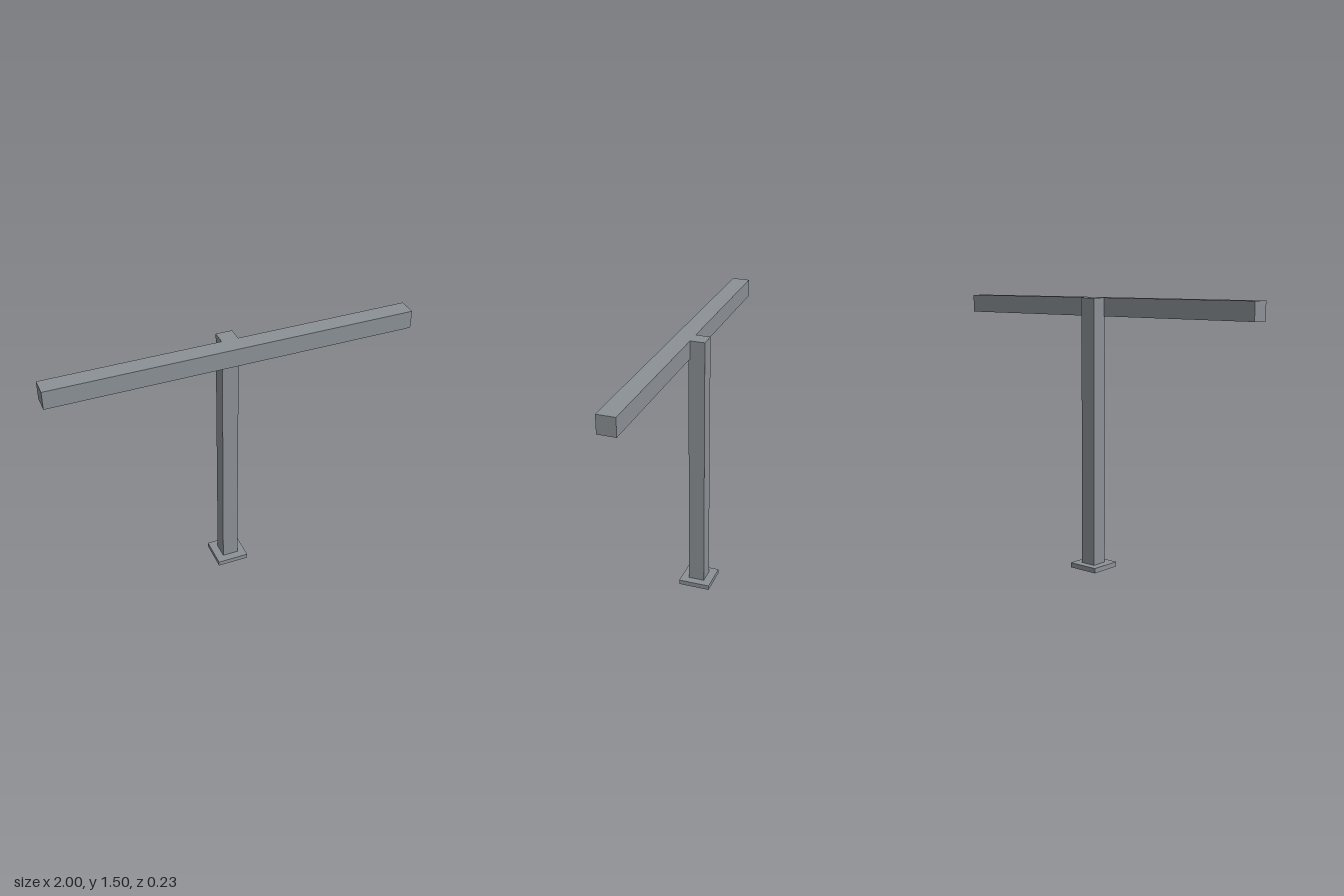
import * as THREE from 'three';

export function createModel() {
  const group = new THREE.Group();
  const steel = new THREE.MeshStandardMaterial({ color: 0x8c9196 });
  steel.name = 'grey steel';

  // Box standing on height y, centred on x = 0
  const addBox = (name, width, height, depth, y, z) => {
    const mesh = new THREE.Mesh(new THREE.BoxGeometry(width, height, depth), steel);
    mesh.name = name;
    mesh.position.set(0, y + height / 2, z);
    group.add(mesh);
  };

  const plateHeight = 0.027;
  const postZ = -0.023;
  addBox('basePlate', 0.18, plateHeight, 0.18, 0, postZ);
  addBox('post', 0.09, 1.5 - plateHeight, 0.09, plateHeight, postZ);
  // Crossbeam set into the front of the post, flush with its top
  addBox('crossbeam', 2, 0.1, 0.1, 1.4, 0.063);

  return group;
}
